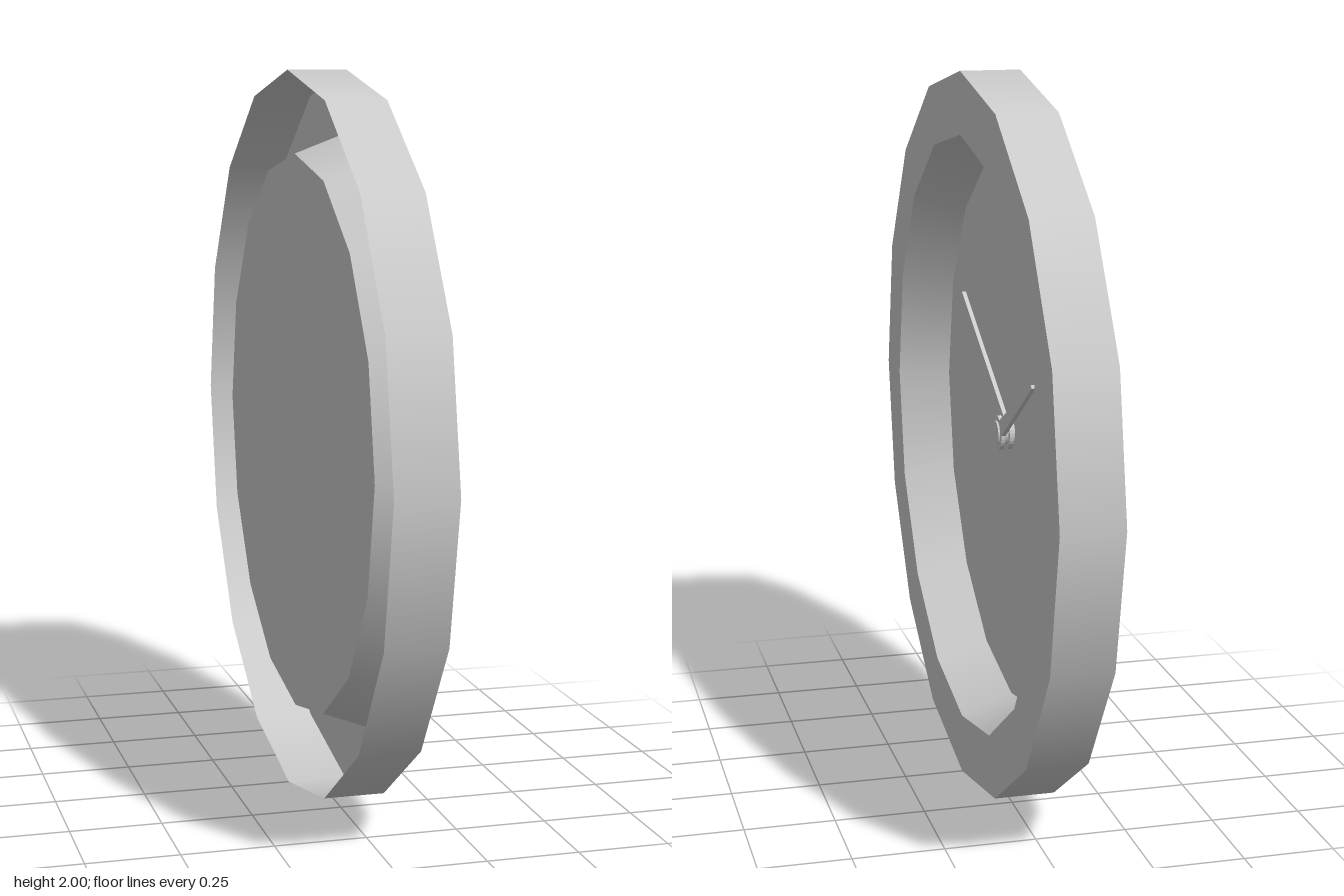
import * as THREE from 'three';

const SIDES = 16;
const HALF = 0.083;      // half the depth of the case
const DIAL_X = -0.063;   // plane of the dial
const RIM_R = 0.83;
const DIAL_R = 0.775;

const material = new THREE.MeshStandardMaterial({ color: 0xcccccc, side: THREE.DoubleSide });

function addPart(group, name, geometry) {
  const mesh = new THREE.Mesh(geometry, material);
  mesh.name = name;
  group.add(mesh);
}

// Smooth band around the x axis; each point is [radius, x]
function band(...points) {
  const profile = points.map(([r, x]) => new THREE.Vector2(r, x));
  return new THREE.LatheGeometry(profile, SIDES).rotateZ(-Math.PI / 2);
}

// Flat tapered hand with a round base, pointing at (z, y) from the dial centre
function hand(z, y, x, thickness = 0.012) {
  const length = Math.hypot(z, y), tip = 0.008;
  const shape = new THREE.Shape();
  shape.moveTo(length - 0.006, -tip);
  shape.absarc(0, 0, 0.048, -0.5, 0.5, true);
  shape.lineTo(length - 0.006, tip);
  shape.lineTo(length, tip * 0.5);
  shape.lineTo(length, -tip * 0.5);
  return new THREE.ExtrudeGeometry(shape, { depth: thickness, bevelEnabled: false, curveSegments: 12 })
    .rotateZ(Math.atan2(y, -z))
    .rotateY(Math.PI / 2)
    .translate(x, 0, 0);
}

export function createModel() {
  const clock = new THREE.Group();
  clock.name = 'wallClock';

  // Case: outer wall, front face and sloping inner wall, open at the back
  addPart(clock, 'outerWall', band([1, -HALF], [1, HALF]));
  addPart(clock, 'frontRim', new THREE.RingGeometry(RIM_R, 1, SIDES)
    .rotateY(Math.PI / 2).translate(HALF, 0, 0));
  addPart(clock, 'innerWall', band([RIM_R, HALF], [DIAL_R, DIAL_X]));

  // Dial
  addPart(clock, 'dial', new THREE.CircleGeometry(DIAL_R, SIDES)
    .rotateY(Math.PI / 2).translate(DIAL_X, 0, 0));

  // Hands stacked on the centre pin
  addPart(clock, 'minuteHand', hand(0.52, 0.3, -0.056));
  addPart(clock, 'hourHand', hand(-0.36, 0.21, -0.032));
  const pinLength = 0.048;
  addPart(clock, 'centrePin', new THREE.CylinderGeometry(0.034, 0.034, pinLength, SIDES)
    .rotateZ(-Math.PI / 2).translate(DIAL_X + pinLength / 2, 0, 0));

  clock.position.y = 1;
  const model = new THREE.Group();
  model.add(clock);
  return model;
}
